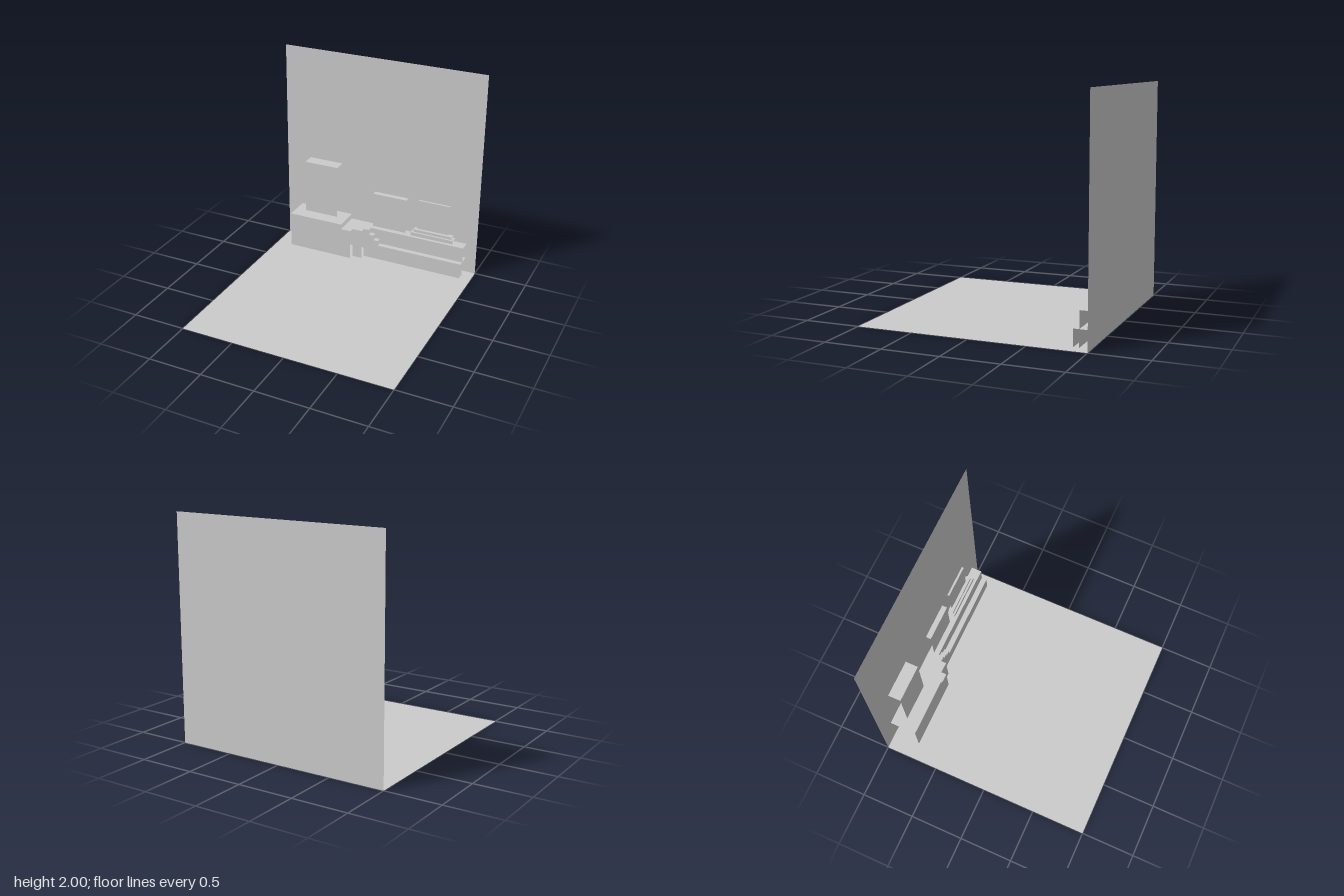
import * as THREE from 'three';

const material = new THREE.MeshStandardMaterial({ color: 0xcccccc, side: THREE.DoubleSide, flatShading: true });
const WALL_Z = -1;

// Upright panel facing +z
function frontPanel(name, x0, x1, y0, y1, z) {
  const mesh = new THREE.Mesh(new THREE.PlaneGeometry(x1 - x0, y1 - y0), material);
  mesh.name = name;
  mesh.position.set((x0 + x1) / 2, (y0 + y1) / 2, z);
  return mesh;
}

// Level panel facing +y
function topPanel(name, x0, x1, z0, z1, y) {
  const mesh = new THREE.Mesh(new THREE.PlaneGeometry(x1 - x0, z1 - z0).rotateX(-Math.PI / 2), material);
  mesh.name = name;
  mesh.position.set((x0 + x1) / 2, y, (z0 + z1) / 2);
  return mesh;
}

// Open-sided block against the wall: only a front and a top
function block(name, x0, x1, y0, y1, z) {
  const group = new THREE.Group();
  group.name = name;
  group.add(frontPanel(name + 'Front', x0, x1, y0, y1, z), topPanel(name + 'Top', x0, x1, WALL_Z, z, y1));
  return group;
}

export function createModel() {
  const model = new THREE.Group();
  model.name = 'steppedStage';

  model.add(topPanel('floor', -1, 1, -1, 1, 0), frontPanel('backWall', -1, 1, 0, 2, WALL_Z));

  // name, x from, x to, y from, y to, front z
  const blocks = [
    // Plinth and the walkway that recedes from it
    ['plinth', -0.85, -0.3, 0, 0.35, -0.75],
    ['walkwayWide', -0.3, -0.2, 0, 0.3, -0.75],
    ['walkwayMiddle', -0.2, -0.1, 0, 0.3, -0.8],
    ['walkwayNarrow', -0.1, -0.05, 0, 0.3, -0.85],
    ['rearTerrace', -0.05, 0.9, 0, 0.3, -0.9],
    // Steps down to the front ledge
    ['upperStep', -0.05, 0, 0, 0.25, -0.85],
    ['lowerStep', 0, 0.05, 0, 0.2, -0.85],
    ['frontLedge', 0.05, 0.9, 0, 0.15, -0.85],
    // Standing blocks
    ['tallBlock', -0.75, -0.405, 0.35, 0.88, -0.88],
    ['middleBlock', -0.05, 0.295, 0.3, 0.65, -0.95],
    ['lowerTier', 0.355, 0.785, 0.3, 0.335, -0.93],
    ['upperTier', 0.375, 0.765, 0.335, 0.36, -0.95],
    ['tieredBlock', 0.405, 0.72, 0.36, 0.66, -0.98],
  ];
  for (const spec of blocks) model.add(block(...spec));

  return model;
}
